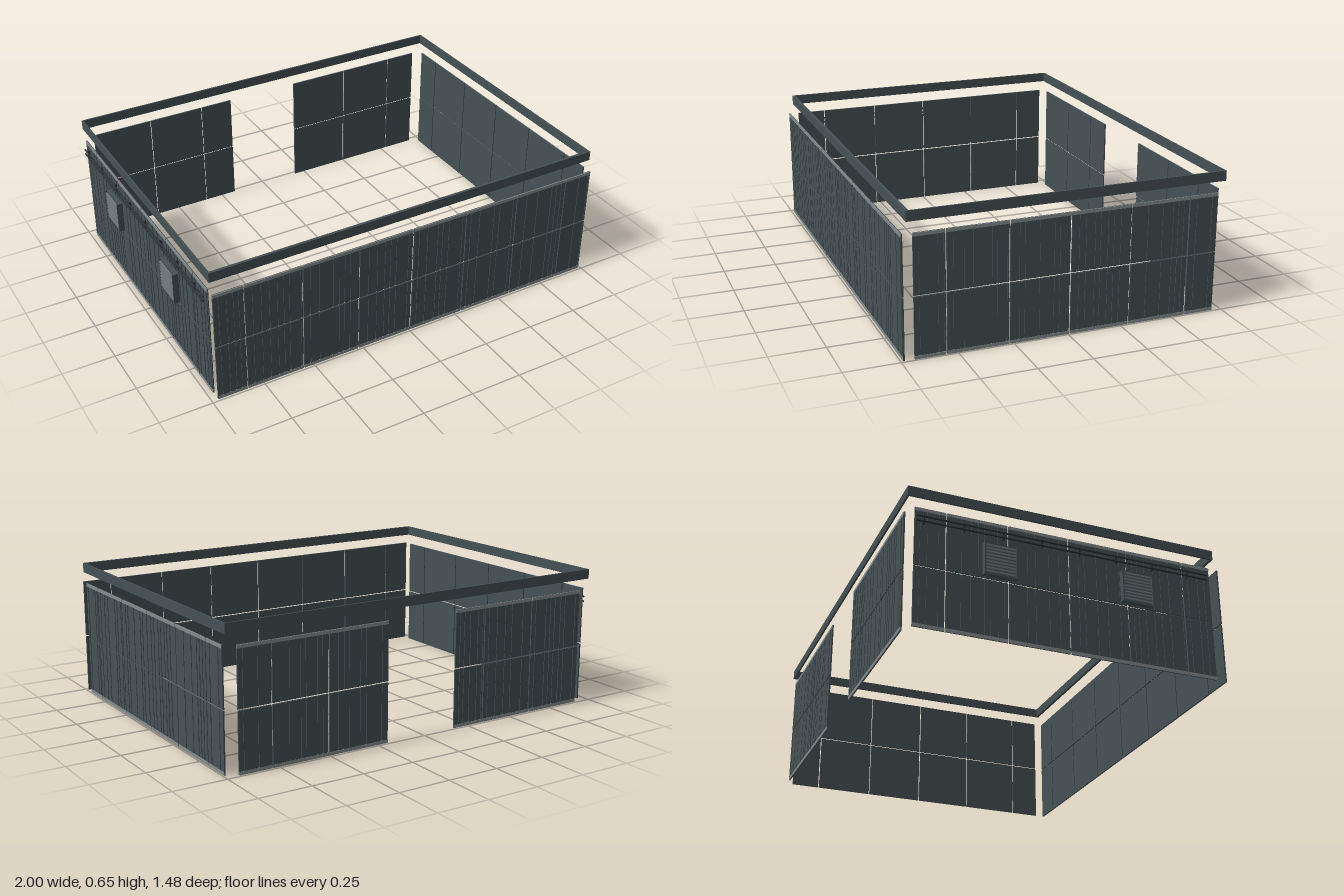
import * as THREE from 'three';

const paint = (color) => new THREE.MeshStandardMaterial({ color });
const darkSteel = paint(0x465053);
const railSteel = paint(0x858c8d);
const ventSteel = paint(0x6f7779);
const pipeSteel = paint(0x2b3133);

const WALL_H = 0.555, MID = 0.28, GAP = 0.005, PLATE = 0.004, RIB = 0.003;

// Repeatable pseudo-random numbers for the slat widths
function seeded(seed) {
  let s = seed;
  return () => (s = (s * 16807) % 2147483647) / 2147483647;
}

// Box given by its minimum and maximum corners
function box(parent, name, material, x0, x1, y0, y1, z0, z1) {
  const mesh = new THREE.Mesh(new THREE.BoxGeometry(x1 - x0, y1 - y0, z1 - z0), material);
  mesh.position.set((x0 + x1) / 2, (y0 + y1) / 2, (z0 + z1) / 2);
  mesh.name = name;
  parent.add(mesh);
  return mesh;
}

// Flat wall along local x, outside facing +z with its outer face at z = 0.
// The seams are open slits, and slats of uneven width cover the outside.
function wall(name, start, end, seams, seed) {
  const group = new THREE.Group();
  group.name = name;
  const random = seeded(seed);
  const edges = [start, ...seams, end];
  for (let i = 0; i < edges.length - 1; i++) {
    const a = edges[i] + (i > 0 ? GAP / 2 : 0);
    const b = edges[i + 1] - (i < edges.length - 2 ? GAP / 2 : 0);
    const slats = [];
    for (let x = a; x < b - 0.004;) {
      const next = Math.min(b, x + 0.018 + 0.06 * random() ** 2);
      slats.push([x, next]);
      x = next + 0.007;
    }
    for (const [y0, y1] of [[0, MID - GAP / 2], [MID + GAP / 2, WALL_H]]) {
      box(group, 'wallPanel', darkSteel, a, b, y0, y1, -RIB - PLATE, -RIB);
      for (const [s, e] of slats) {
        box(group, 'wallSlat', darkSteel, s, e, y0 + 0.001, y1 - 0.001, -RIB - 0.0005, 0);
      }
    }
    // Rails along the foot and head of the panel
    box(group, 'footRail', railSteel, a, b, 0, 0.015, -RIB, 0.001);
    box(group, 'headRail', railSteel, a, b, WALL_H - 0.015, WALL_H, -RIB, 0.001);
  }
  return group;
}

// Louvred vent box on the side wall
function vent(zCentre) {
  const group = new THREE.Group();
  group.name = 'ventBox';
  const z0 = zCentre - 0.074, z1 = zCentre + 0.074;
  box(group, 'ventBody', darkSteel, -0.993, -0.971, 0.29, 0.442, z0, z1);
  for (let i = 0; i < 9; i++) {
    const y = 0.3 + i * 0.0155;
    box(group, 'ventLouvre', ventSteel, -1, -0.992, y, y + 0.008, z0 + 0.006, z1 - 0.006);
  }
  for (const z of [z0, z1 - 0.006]) {
    box(group, 'ventFrame', darkSteel, -1, -0.992, 0.29, 0.442, z, z + 0.006);
  }
  return group;
}

export function createModel() {
  const model = new THREE.Group();
  model.name = 'wallEnclosure';

  // Front wall
  const front = wall('frontWall', -0.97, 0.99, [-0.827, -0.55, -0.27, 0.007, 0.287, 0.567, 0.847], 11);
  front.position.z = 0.739;
  model.add(front);

  // Back wall in two lengths, leaving an entrance between them
  const backParts = [
    ['backWallRight', -0.195 + 1.115 - 0.745, 0.92, [0.34, 0.62], 23],
    ['backWallLeft', -0.94, -0.195, [-0.78, -0.5], 37],
  ];
  for (const [name, a, b, seams, seed] of backParts) {
    const part = wall(name, a, b, seams, seed);
    part.rotation.y = Math.PI;
    part.position.z = -0.739;
    model.add(part);
  }

  // Side walls with matching seams
  const sideSeams = [0.549, 0.27, -0.008, -0.289, -0.568];
  const left = wall('leftWall', -0.69, 0.707, sideSeams.map((z) => -z), 53);
  left.rotation.y = Math.PI / 2;
  left.position.x = 0.993;
  model.add(left);
  const right = wall('rightWall', -0.707, 0.69, [...sideSeams].reverse(), 71);
  right.rotation.y = -Math.PI / 2;
  right.position.x = -0.972;
  model.add(right);

  // Parapet band above the walls
  const band = new THREE.Group();
  band.name = 'parapetBand';
  const y0 = 0.606, y1 = 0.652;
  box(band, 'frontBand', darkSteel, -0.972, 0.995, y0, y1, 0.704, 0.717);
  box(band, 'backBand', darkSteel, -0.972, 0.995, y0, y1, -0.74, -0.732);
  box(band, 'leftBand', darkSteel, 0.987, 0.995, y0, y1, -0.732, 0.704);
  box(band, 'rightBand', darkSteel, -0.972, -0.964, y0, y1, -0.732, 0.704);
  model.add(band);

  // Vents, pipes and pipe brackets on the right wall
  model.add(vent(0.311), vent(-0.332));
  for (const y of [0.487, 0.51]) {
    const pipe = new THREE.Mesh(new THREE.CylinderGeometry(0.004, 0.004, 1.374, 10), pipeSteel);
    pipe.name = 'wallPipe';
    pipe.rotation.x = Math.PI / 2;
    pipe.position.set(-0.983, y, -0.016);
    model.add(pipe);
  }
  for (const z of [-0.668, -0.49, -0.313, -0.135, 0.042, 0.218, 0.395, 0.572]) {
    box(model, 'pipeBracket', pipeSteel, -0.982, -0.971, 0.478, 0.519, z - 0.003, z + 0.003);
  }

  return model;
}
